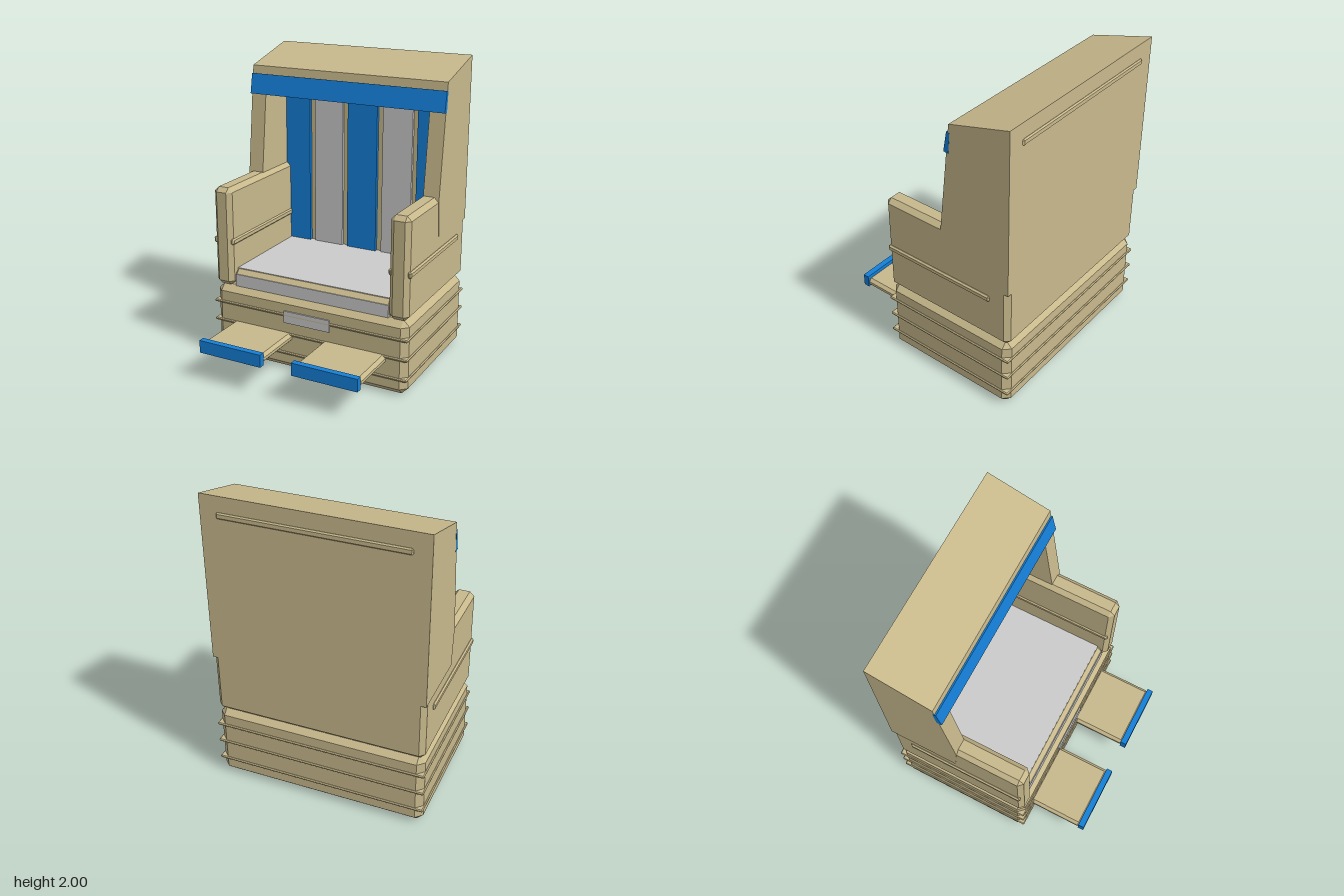
import * as THREE from 'three';
import { ConvexGeometry } from 'three/addons/geometries/ConvexGeometry.js';

const mat = (color) => new THREE.MeshStandardMaterial({ color, flatShading: true });

export function createModel() {
  const group = new THREE.Group();
  const tan = mat(0xc8b98c), blue = mat(0x147fd8), grey = mat(0xcccccc);

  const add = (name, geometry, material) => {
    const mesh = new THREE.Mesh(geometry, material);
    mesh.name = name;
    group.add(mesh);
    return mesh;
  };

  // Plain box given by its limits
  const box = (name, material, x0, x1, y0, y1, z0, z1) =>
    add(name, new THREE.BoxGeometry(x1 - x0, y1 - y0, z1 - z0), material)
      .position.set((x0 + x1) / 2, (y0 + y1) / 2, (z0 + z1) / 2);

  // Box with every edge chamfered by c
  const chamferBox = (name, material, x0, x1, y0, y1, z0, z1, c) => {
    const half = [(x1 - x0) / 2, (y1 - y0) / 2, (z1 - z0) / 2];
    const points = [];
    for (const sx of [-1, 1]) for (const sy of [-1, 1]) for (const sz of [-1, 1])
      for (let axis = 0; axis < 3; axis++) {
        const h = half.map((v, i) => (i === axis ? v : v - c));
        points.push(new THREE.Vector3(sx * h[0], sy * h[1], sz * h[2]));
      }
    add(name, new ConvexGeometry(points), material)
      .position.set((x0 + x1) / 2, (y0 + y1) / 2, (z0 + z1) / 2);
  };

  // Side profile of [z, y] points, extruded from x0 to x1
  const profile = (name, material, points, x0, x1) => {
    const shape = new THREE.Shape(points.map(([z, y]) => new THREE.Vector2(-z, y)));
    const geometry = new THREE.ExtrudeGeometry(shape, { depth: x1 - x0, bevelEnabled: false });
    geometry.rotateY(Math.PI / 2).translate(x0, 0, 0);
    add(name, geometry, material);
  };

  // Base with three surrounding ribs
  chamferBox('base', tan, -0.695, 0.695, 0, 0.503, -0.67, 0.278, 0.043);
  for (const y of [0.113, 0.25, 0.383])
    chamferBox('baseRib', tan, -0.704, 0.704, y - 0.009, y + 0.009, -0.679, 0.287, 0.006);
  box('frontPlate', grey, -0.168, 0.165, 0.33, 0.412, 0.27, 0.287);

  // Seat, its front panel and cushion
  chamferBox('seatBase', tan, -0.58, 0.58, 0.49, 0.612, -0.55, 0.243, 0.03);
  box('seatFrontPanel', grey, -0.555, 0.555, 0.5, 0.583, 0.22, 0.248);
  box('seatCushion', grey, -0.56, 0.56, 0.58, 0.616, -0.53, 0.21);

  // Back: chamfered lower section, plain upper section
  chamferBox('lowerBack', tan, -0.695, 0.695, 0.5, 0.94, -0.67, -0.53, 0.032);
  box('upperBack', tan, -0.6, 0.6, 0.9, 1.9, -0.67, -0.53);
  chamferBox('backHandle', tan, -0.59, 0.59, 1.86, 1.9, -0.68, -0.655, 0.008);

  // Backrest stripes
  for (const x of [-0.5, 0, 0.5])
    box('blueBackStripe', blue, x - (x ? 0.097 : 0.11), x + (x ? 0.097 : 0.11), 0.6, 1.8, -0.54, -0.505);
  for (const x of [-0.258, 0.258])
    box('greyBackStripe', grey, x - 0.108, x + 0.108, 0.6, 1.8, -0.54, -0.51);

  // Sloped roof and the band along its front edge
  profile('roof', tan, [[-0.67, 1.78], [-0.24, 1.75], [-0.256, 1.89], [-0.67, 2]], -0.6, 0.6);
  profile('roofBand', blue, [[-0.25, 1.7], [-0.215, 1.704], [-0.24, 1.838], [-0.262, 1.834]], -0.698, 0.698);

  for (const s of [-1, 1]) {
    const span = (a, b) => (s > 0 ? [a, b] : [-b, -a]);

    // Armrest with a rail on each face
    chamferBox('armrest', tan, ...span(0.563, 0.695), 0.503, 1.175, -0.62, 0.278, 0.03);
    for (const x of [0.568, 0.694])
      chamferBox('armRail', tan, ...span(x - 0.014, x + 0.014), 0.787, 0.83, -0.535, 0.265, 0.01);

    // Hood side
    profile('hoodSide', tan,
      [[-0.67, 0.9], [-0.2, 0.9], [-0.172, 1.15], [-0.256, 1.89], [-0.67, 2]], ...span(0.59, 0.697));

    // Pull-out footrest
    chamferBox('footrest', tan, ...span(0.112, 0.558), 0.2, 0.26, 0.25, 0.65, 0.02);
    box('footrestFront', blue, ...span(0.11, 0.56), 0.195, 0.28, 0.637, 0.678);
  }
  return group;
}
